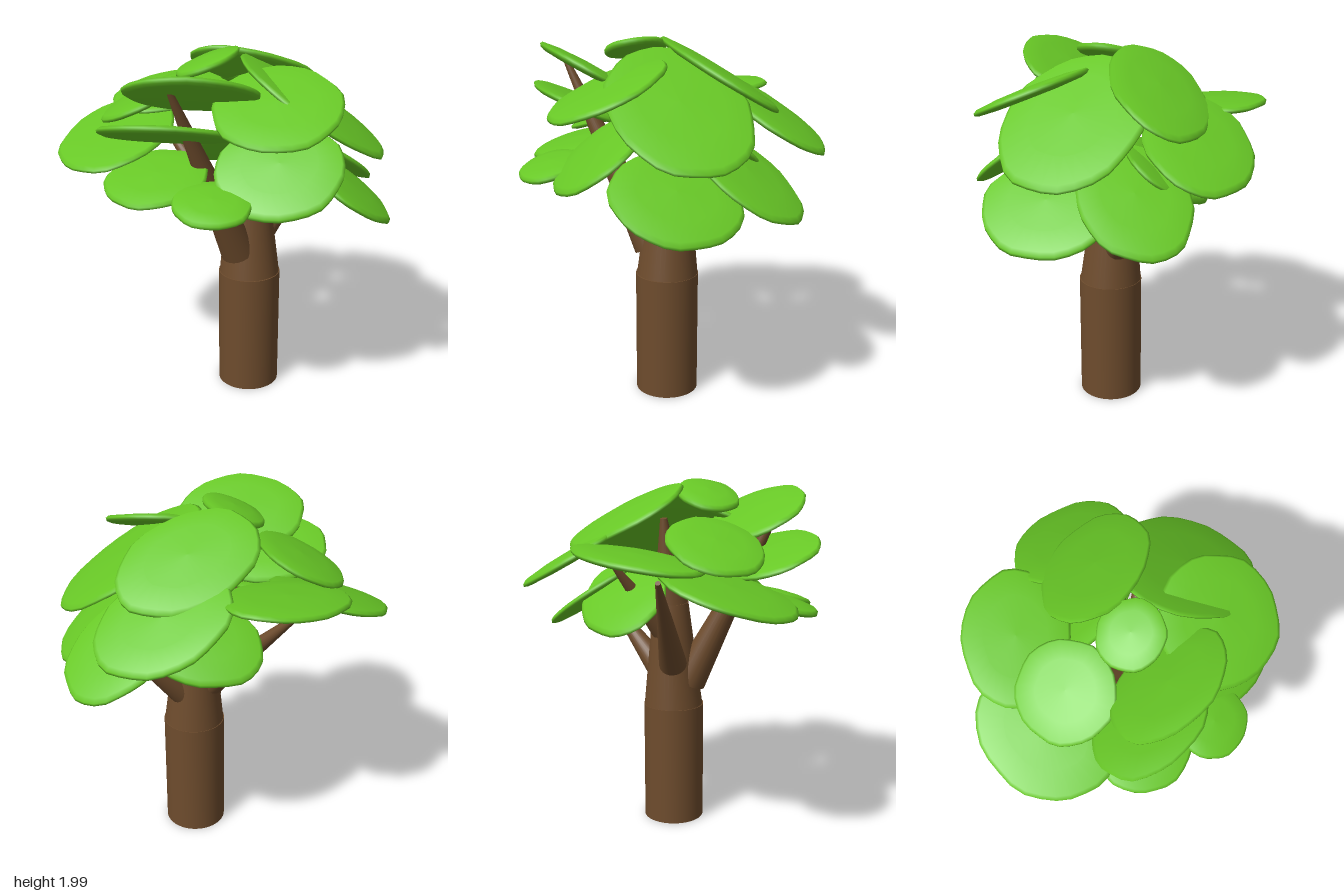
import * as THREE from 'three';

const bark = new THREE.MeshStandardMaterial({ color: 0x6e4c2d });
bark.name = 'bark brown';
const leaf = new THREE.MeshStandardMaterial({ color: 0x68c826 });
leaf.name = 'leaf green';

// Tapered limb between two points
function limb(name, from, to, r0, r1, sides = 24) {
  const a = new THREE.Vector3(...from), b = new THREE.Vector3(...to);
  const dir = b.clone().sub(a);
  const mesh = new THREE.Mesh(new THREE.CylinderGeometry(r1, r0, dir.length(), sides), bark);
  mesh.position.copy(a).add(b).multiplyScalar(0.5);
  mesh.quaternion.setFromUnitVectors(new THREE.Vector3(0, 1, 0), dir.normalize());
  mesh.name = name;
  return mesh;
}

// Thin leaf pad: lens-like plate, elliptical in plan, turned, then sloped by gx and gz
function leafPad([x, y, z, rx, rz, gx, gz, turn = 0], index) {
  const profile = [[0, -0.03], [0.6, -0.027], [0.92, -0.02], [0.99, -0.011], [1, 0.003], [0.95, 0.016], [0.6, 0.028], [0, 0.034]]
    .map(([r, h]) => new THREE.Vector2(r, h));
  const geo = new THREE.LatheGeometry(profile, 28);
  // Slightly uneven outline
  const p = geo.attributes.position;
  for (let i = 0; i < p.count; i++) {
    const t = Math.atan2(p.getZ(i), p.getX(i));
    const k = 1 + 0.014 * Math.sin(5 * t + index) + 0.01 * Math.sin(9 * t + 2 * index);
    p.setX(i, p.getX(i) * k);
    p.setZ(i, p.getZ(i) * k);
  }
  geo.scale(rx, Math.sqrt(1 + gx * gx + gz * gz), rz);
  geo.rotateY(turn);
  geo.applyMatrix4(new THREE.Matrix4().set(
    1, 0, 0, x,
    gx, 1, gz, y,
    0, 0, 1, z,
    0, 0, 0, 1));
  const mesh = new THREE.Mesh(geo, leaf);
  mesh.name = 'leafPad' + (index + 1);
  return mesh;
}

export function createModel() {
  const tree = new THREE.Group();
  tree.name = 'tree';

  // Trunk: straight base, tapering middle, thin leader
  tree.add(
    limb('trunkBase', [0.147, 0, 0.022], [0.147, 0.695, 0.022], 0.173, 0.173, 40),
    limb('trunkMiddle', [0.147, 0.69, 0.02], [0.137, 1.3, 0], 0.169, 0.1, 40),
    limb('trunkLeader', [0.137, 1.28, 0], [0.1, 1.78, -0.06], 0.1, 0.02),
  );

  // Branches: start, end, start radius
  const branches = [
    [[0.085, 0.84, 0.09], [-0.25, 1.86, 0.47], 0.1],
    [[0.21, 0.9, -0.04], [0.52, 1.27, -0.22], 0.075],
    [[0.13, 1.1, -0.02], [0.07, 1.55, -0.38], 0.075],
    [[0.05, 0.96, -0.03], [-0.4, 1.52, -0.33], 0.08],
    [[0.16, 1.05, 0.04], [0.42, 1.56, 0.2], 0.075],
  ];
  branches.forEach(([a, b, r], i) => tree.add(limb('branch' + (i + 1), a, b, r, 0.014)));

  // Leaf pads: centre x y z, plan radii, slope along x and z, turn
  const pads = [
    [-0.145, 1.81, 0.38, 0.345, 0.235, -0.02, 0.56],
    [-0.28, 1.60, 0.38, 0.35, 0.25, -0.03, 0.42],
    [0.285, 1.755, 0.40, 0.33, 0.30, 0.05, -0.44],
    [0.30, 1.44, 0.45, 0.33, 0.23, 0.08, -0.78],
    [-0.03, 1.315, 0.62, 0.2, 0.17, -0.03, -0.3],
    [-0.33, 1.365, 0.38, 0.27, 0.25, 0.1, -0.26],
    [-0.59, 1.48, -0.03, 0.32, 0.37, 0.24, -0.23],
    [-0.43, 1.69, -0.02, 0.235, 0.26, 0.48, 0],
    [-0.32, 1.63, -0.405, 0.36, 0.275, 0.07, -0.12, 0.65],
    [0.17, 1.79, -0.265, 0.375, 0.26, -0.14, 0.57, 0.3],
    [0.30, 1.58, -0.52, 0.345, 0.275, -0.3, 0.5],
    [0.48, 1.68, 0.08, 0.385, 0.375, -0.65, 0],
    [0.65, 1.27, 0.16, 0.25, 0.345, -0.69, 0.05],
    [0.53, 1.32, -0.27, 0.3, 0.295, -0.5, 0.45],
    [0.12, 1.36, -0.3, 0.34, 0.21, 0.2, 0.7],
    [-0.08, 1.915, 0.12, 0.165, 0.17, 0.38, 0],
  ];
  const crown = new THREE.Group();
  crown.name = 'crown';
  pads.forEach((pad, i) => crown.add(leafPad(pad, i)));
  tree.add(crown);
  return tree;
}
